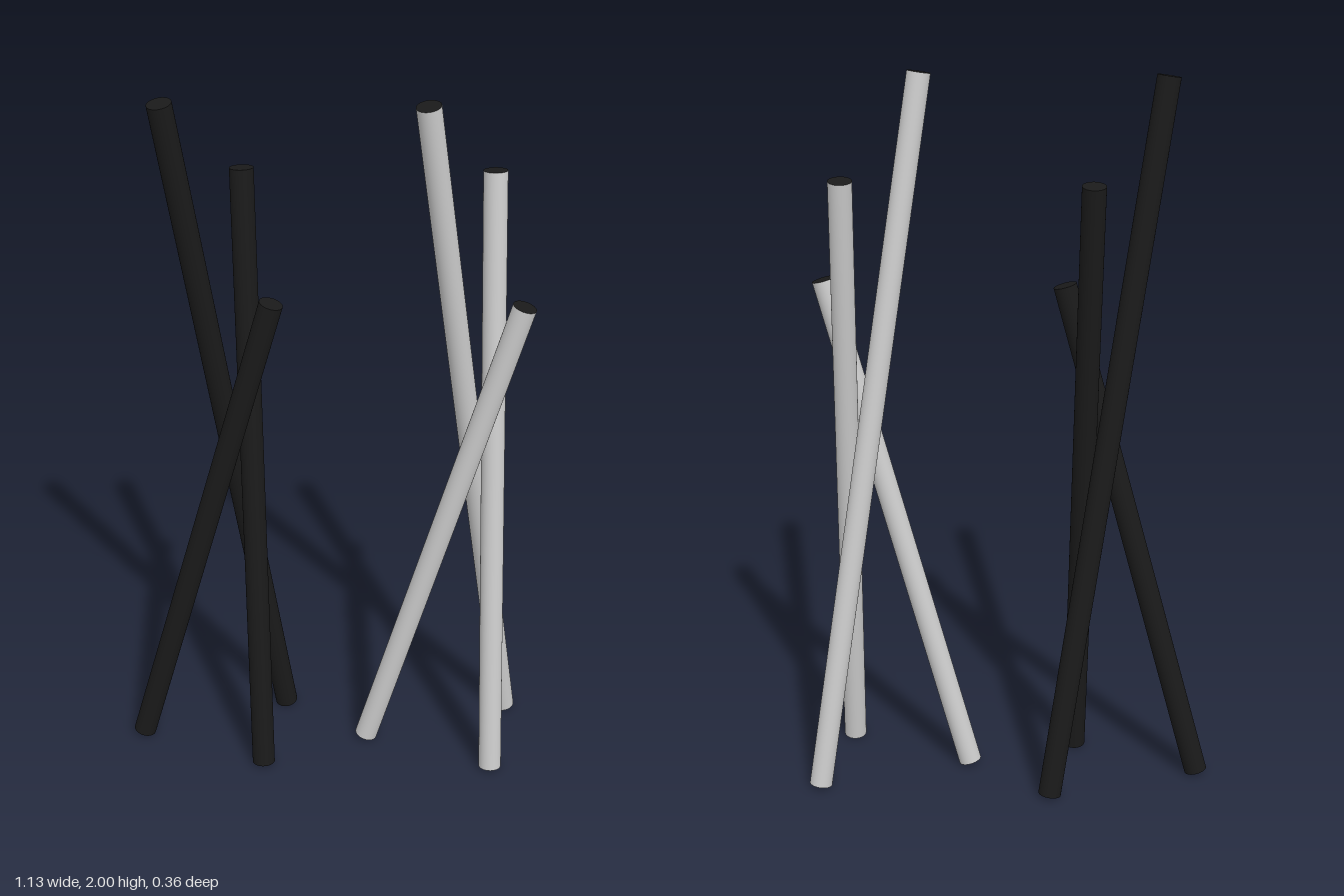
import * as THREE from 'three';

const RADIUS = 0.032;
const SPACING = 0.655;

// Axis ends of the three crossing poles of one bundle (foot, tip)
const POLES = [
  { name: 'tallPole', foot: [0.532, 0.007, -0.15], tip: [0.254, 1.994, 0.141] },
  { name: 'middlePole', foot: [0.48, 0.006, 0.15], tip: [0.435, 1.75, -0.073] },
  { name: 'shortPole', foot: [0.12, 0.01, 0.014], tip: [0.516, 1.438, 0.086] },
];

// A round pole between two points, with its own side and end materials
function makePole({ name, foot, tip }, sideMaterial, endMaterial) {
  const a = new THREE.Vector3(...foot);
  const b = new THREE.Vector3(...tip);
  const axis = b.clone().sub(a);
  const geometry = new THREE.CylinderGeometry(RADIUS, RADIUS, axis.length(), 32);
  const pole = new THREE.Mesh(geometry, [sideMaterial, endMaterial, endMaterial]);
  pole.name = name;
  pole.position.copy(a).add(b).multiplyScalar(0.5);
  pole.quaternion.setFromUnitVectors(new THREE.Vector3(0, 1, 0), axis.normalize());
  return pole;
}

export function createModel() {
  const grey = new THREE.MeshStandardMaterial({ color: 0xcccccc });
  const black = new THREE.MeshStandardMaterial({ color: 0x1a1a1a });
  const model = new THREE.Group();
  model.name = 'poleBundles';

  // Grey bundle with black ends on the left, all-black copy on the right
  const bundles = [
    { name: 'greyBundle', x: 0, side: grey },
    { name: 'blackBundle', x: -SPACING, side: black },
  ];
  for (const { name, x, side } of bundles) {
    const bundle = new THREE.Group();
    bundle.name = name;
    bundle.position.x = x;
    for (const pole of POLES) bundle.add(makePole(pole, side, black));
    model.add(bundle);
  }
  return model;
}
